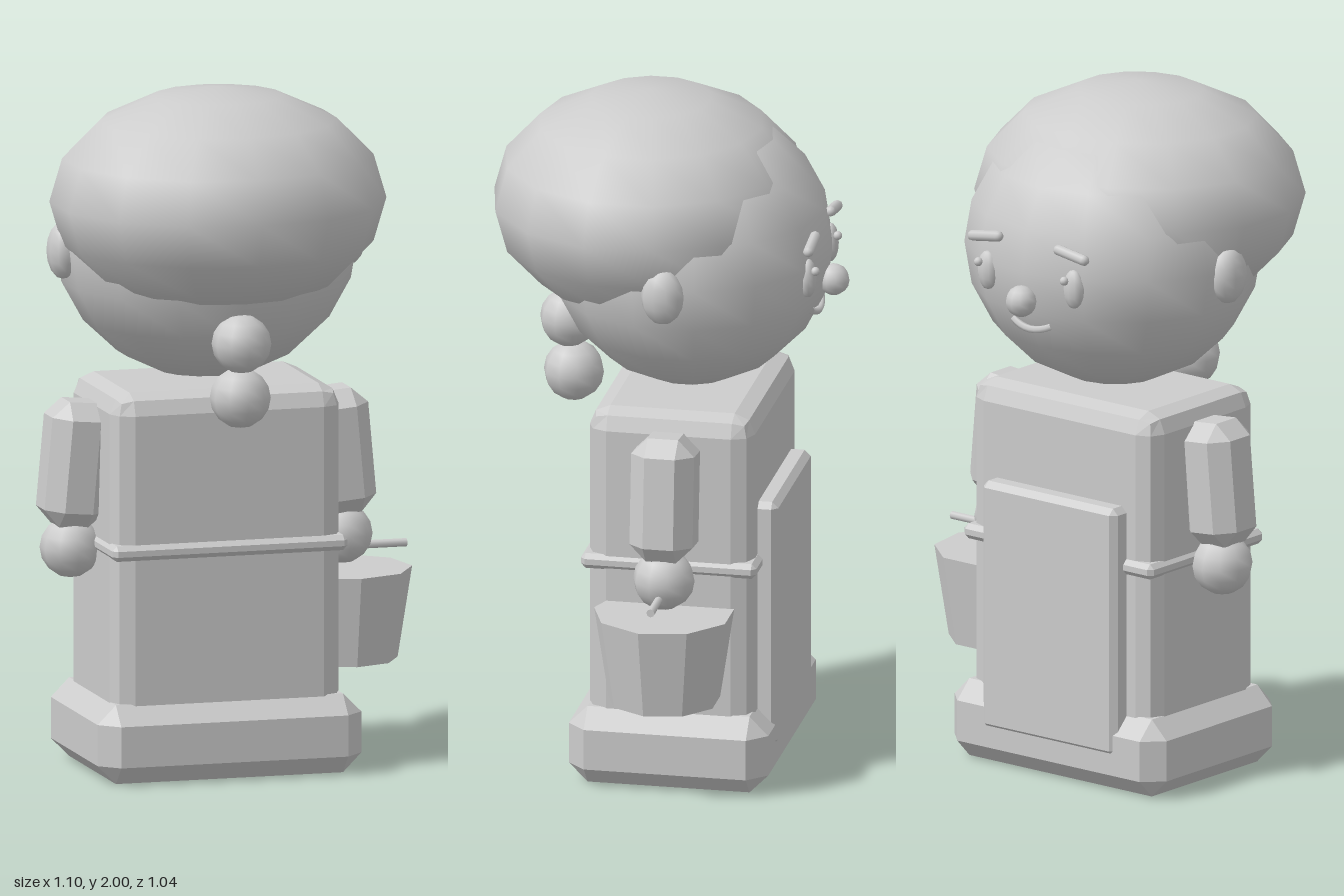
import * as THREE from 'three';
import { ConvexGeometry } from 'three/addons/geometries/ConvexGeometry.js';
import { RoundedBoxGeometry } from 'three/addons/geometries/RoundedBoxGeometry.js';

const CX = -0.055; // centre line of the figure
const CZ = -0.06;

// Box with every edge cut at 45 degrees
function chamferBox(w, h, d, c) {
  const pts = [];
  for (const x of [-1, 1]) for (const y of [-1, 1]) for (const z of [-1, 1]) {
    const a = w / 2, b = h / 2, e = d / 2;
    pts.push(
      new THREE.Vector3(x * a, y * (b - c), z * (e - c)),
      new THREE.Vector3(x * (a - c), y * b, z * (e - c)),
      new THREE.Vector3(x * (a - c), y * (b - c), z * e));
  }
  return new ConvexGeometry(pts);
}

// Faceted copy of a geometry
function flat(geometry) {
  const g = geometry.index ? geometry.toNonIndexed() : geometry;
  g.computeVertexNormals();
  return g;
}

export function createModel() {
  const group = new THREE.Group();
  const clay = new THREE.MeshStandardMaterial({ color: 0xcccccc });
  clay.name = 'plain grey';

  function add(name, geometry, x, y, z) {
    const mesh = new THREE.Mesh(geometry, clay);
    mesh.name = name;
    mesh.position.set(x, y, z);
    group.add(mesh);
    return mesh;
  }
  // Smooth ellipsoid with a vertex column facing front and back
  function ball(name, x, y, z, rx, ry = rx, rz = rx, seg = 10, rows = 8) {
    const g = new THREE.SphereGeometry(1, seg, rows).rotateY(Math.PI / 2).scale(rx, ry, rz);
    return add(name, g, x, y, z);
  }

  // Skirt base, body, belt and apron
  add('base', chamferBox(0.79, 0.23, 0.585, 0.055), CX, 0.115, CZ);
  add('body', flat(new RoundedBoxGeometry(0.685, 0.98, 0.485, 1, 0.06)), CX, 0.64, CZ);
  add('belt', chamferBox(0.705, 0.045, 0.515, 0.014), CX, 0.672, CZ);
  add('apron', chamferBox(0.5, 0.74, 0.09, 0.018), CX, 0.48, -0.315);

  // Head and hair
  ball('head', CX, 1.54, CZ, 0.44, 0.405, 0.41, 14, 10);
  ball('hair', CX, 1.67, 0.06, 0.487, 0.33, 0.46, 14, 8);
  ball('braidUpper', CX, 1.29, 0.3, 0.086);
  ball('braidLower', CX, 1.13, 0.287, 0.088);

  // Paired arms, hands, ears, eyes and brows
  for (const s of [-1, 1]) {
    const side = s > 0 ? 'left' : 'right';
    const arm = add(side + 'Arm', chamferBox(0.18, 0.365, 0.185, 0.048), CX + s * 0.395, 0.9, CZ);
    arm.rotation.z = s * 0.09;
    ball(side + 'Hand', CX + s * 0.407, 0.655, CZ, 0.088, 0.088, 0.09);
    ball(side + 'Ear', CX + s * 0.43, 1.522, CZ, 0.045, 0.083, 0.063);
    ball(side + 'Eye', CX + s * 0.16, 1.513, -0.432, 0.034, 0.058, 0.025);
    ball(side + 'EyeGlint', CX + s * 0.16 + 0.015, 1.54, -0.457, 0.013);
    const browShape = new THREE.CapsuleGeometry(0.016, 0.095, 3, 8).rotateZ(Math.PI / 2);
    add(side + 'Brow', browShape, CX + s * 0.16, 1.617, -0.443).rotation.z = -s * 0.15;
  }

  // Nose and smile
  ball('nose', CX, 1.458, -0.475, 0.046);
  const smile = new THREE.QuadraticBezierCurve3(
    new THREE.Vector3(-0.07, 0.015, 0.008),
    new THREE.Vector3(0, -0.02, -0.012),
    new THREE.Vector3(0.07, 0.015, 0.008));
  add('mouth', new THREE.TubeGeometry(smile, 8, 0.011, 6), CX, 1.368, -0.431);

  // Bucket with its grip bar, under the left hand
  add('bucket', flat(new THREE.CylinderGeometry(0.205, 0.163, 0.265, 9)), 0.35, 0.4225, CZ);
  add('bucketGrip', new THREE.CylinderGeometry(0.012, 0.012, 0.39, 8).rotateZ(Math.PI / 2), 0.35, 0.617, CZ);

  return group;
}
